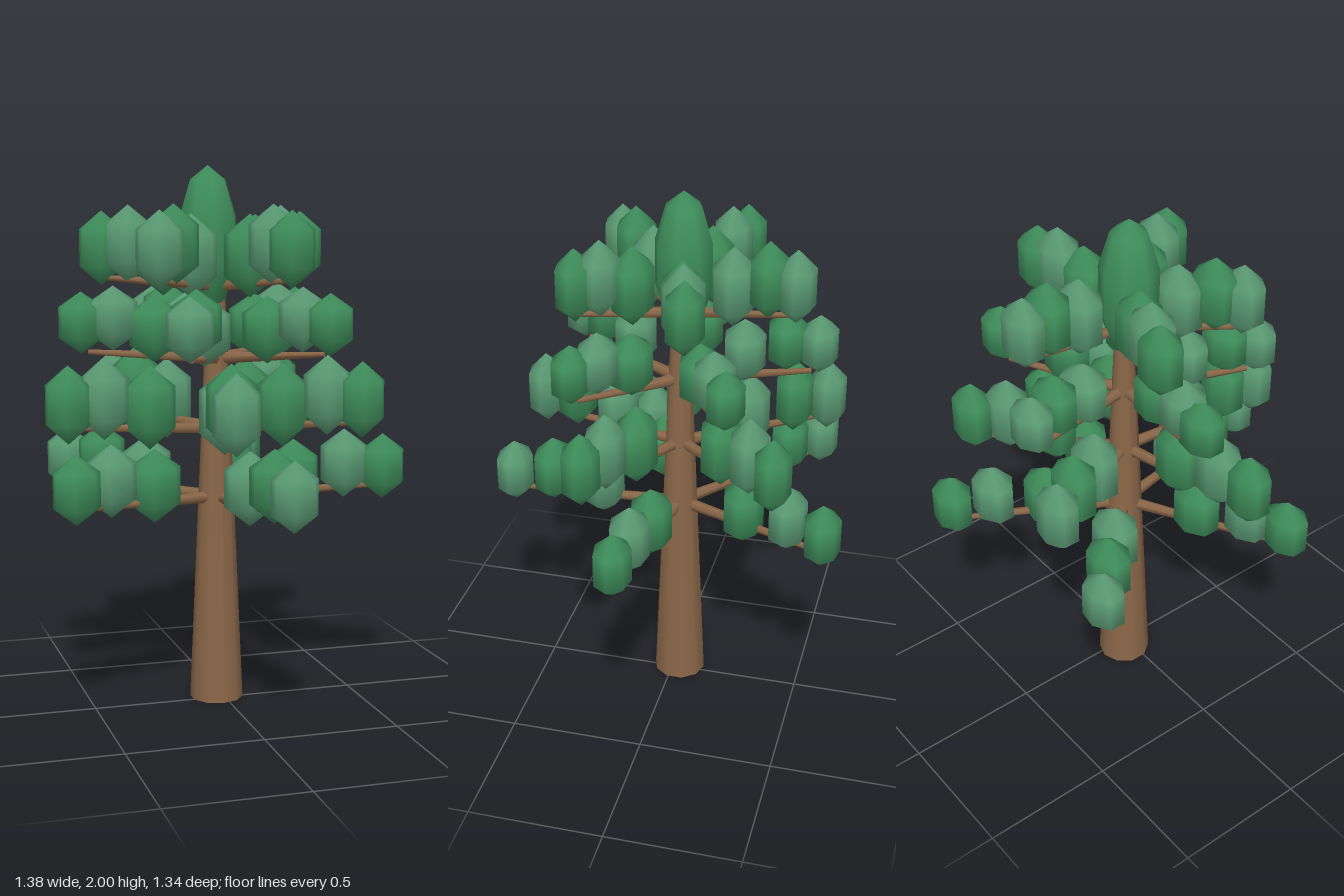
import * as THREE from 'three';

const bark = new THREE.MeshStandardMaterial({ color: 0x8a6748 });
const darkLeaf = new THREE.MeshStandardMaterial({ color: 0x3f8f5c });
const lightLeaf = new THREE.MeshStandardMaterial({ color: 0x5b9c75 });

const AXIS = { x: -0.025, z: -0.025 }; // trunk centre line

// One entry per whorl of branches: branch height, clump centre height and
// half height, and the (x, z) of the outermost clump on each branch
const TIERS = [
  { branchY: 0.775, y: 0.875, half: 0.125,
    tips: [[0.61, 0.06], [0.07, 0.6], [-0.61, 0.26], [-0.5, -0.485], [0.25, -0.61]] },
  { branchY: 1.035, y: 1.15, half: 0.142,
    tips: [[0.465, 0.21], [-0.11, 0.52], [-0.6, 0.07], [-0.31, -0.53], [0.345, -0.44]] },
  { branchY: 1.295, y: 1.432, half: 0.113,
    tips: [[0.31, 0.285], [-0.24, 0.4], [-0.52, -0.085], [-0.15, -0.51], [0.37, -0.275]] },
  { branchY: 1.56, y: 1.70, half: 0.137,
    tips: [[0.155, 0.31], [-0.31, 0.265], [-0.42, -0.185], [-0.02, -0.44], [0.335, -0.125]] },
];

// Clumps along a branch, from tip to trunk: reach, size and height offset
const CLUMPS = [
  { reach: 1, size: 1, lift: 0 },
  { reach: 0.765, size: 1.07, lift: 0.015 },
  { reach: 0.46, size: 1.13, lift: -0.025 },
];

// Seven-sided, three-band leaf clump of unit radius
const clumpGeometry = new THREE.SphereGeometry(1, 7, 3).rotateY(Math.PI);

function addMesh(parent, name, geometry, material) {
  const mesh = new THREE.Mesh(geometry, material);
  mesh.name = name;
  parent.add(mesh);
  return mesh;
}

// Tapered round limb between two points
function addLimb(parent, name, from, to, r0, r1, sides) {
  const dir = to.clone().sub(from);
  const limb = addMesh(parent, name,
    new THREE.CylinderGeometry(r1, r0, dir.length(), sides), bark);
  limb.position.copy(from).addScaledVector(dir, 0.5);
  limb.quaternion.setFromUnitVectors(new THREE.Vector3(0, 1, 0), dir.normalize());
}

export function createModel() {
  const tree = new THREE.Group();
  tree.name = 'tree';

  // Trunk
  addLimb(tree, 'trunk', new THREE.Vector3(AXIS.x, 0, AXIS.z),
    new THREE.Vector3(AXIS.x, 1.64, AXIS.z), 0.1, 0.03, 10);

  // Whorls of branches with their leaf clumps
  TIERS.forEach(({ branchY, y, half, tips }, t) => {
    const tier = new THREE.Group();
    tier.name = `branchTier${t + 1}`;
    tree.add(tier);
    tips.forEach(([tx, tz], i) => {
      const at = (reach, h) => new THREE.Vector3(
        THREE.MathUtils.lerp(AXIS.x, tx, reach), h, THREE.MathUtils.lerp(AXIS.z, tz, reach));
      addLimb(tier, 'branch', at(0, branchY), at(0.95, branchY + 0.03), 0.023, 0.01, 6);
      CLUMPS.forEach(({ reach, size, lift }, j) => {
        const leaf = addMesh(tier, 'leafClump', clumpGeometry, (i + j) % 2 ? lightLeaf : darkLeaf);
        leaf.position.copy(at(reach, y + lift));
        leaf.scale.set(0.099 * size, half * (1 + (size - 1) * 0.7), 0.078 * size);
      });
    });
  });

  // Crown at the top
  const crown = addMesh(tree, 'crown', new THREE.SphereGeometry(1, 8, 5), darkLeaf);
  crown.position.set(-0.055, 1.73, -0.028);
  crown.scale.set(0.113, 0.27, 0.11);

  return tree;
}
